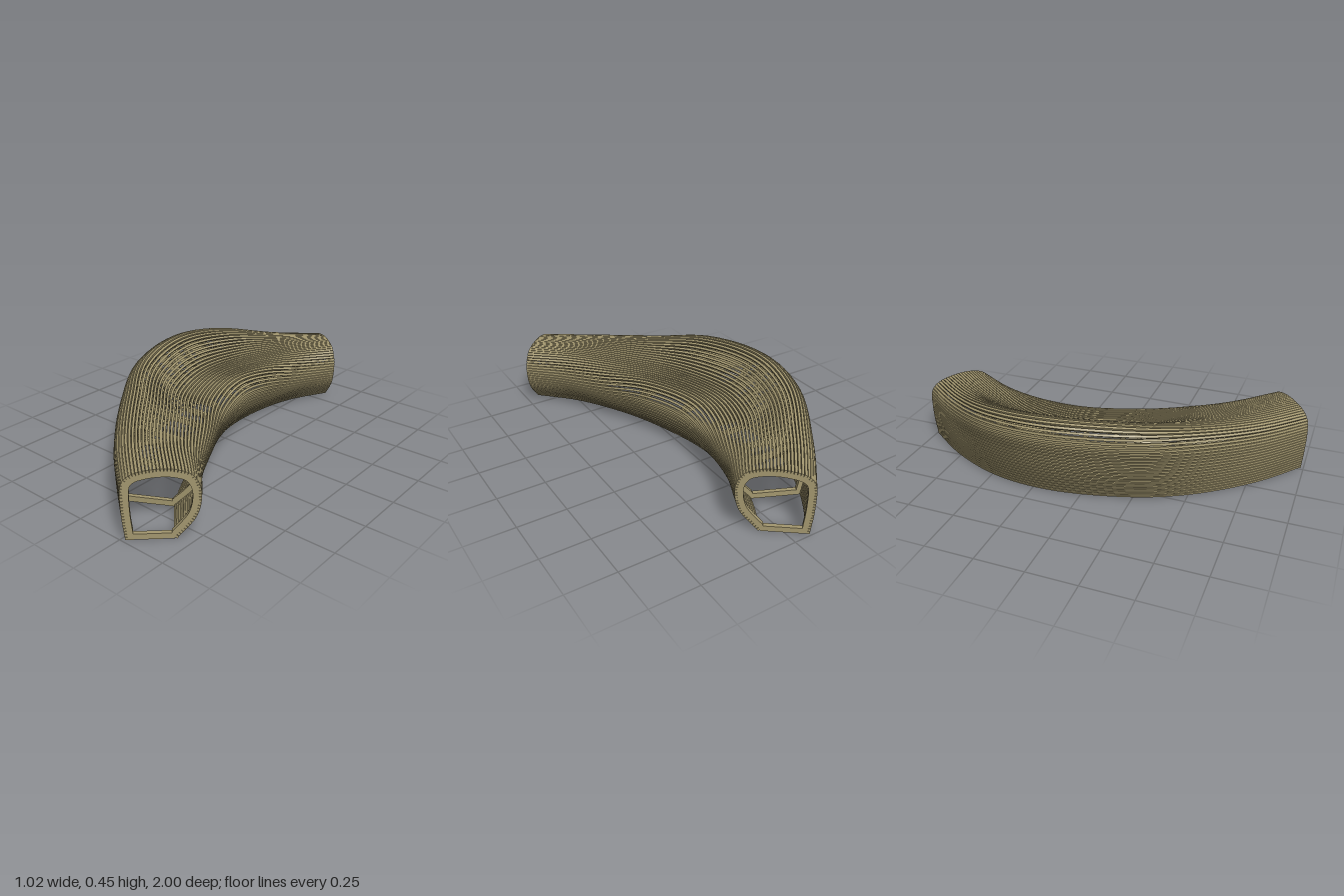
import * as THREE from 'three';

// Frames along the bench: x, z, yaw in degrees, half width, blend (0 = bar end, 1 = seat)
const STATIONS = [
  [0.04, -0.89, -38, 0.178, 0],
  [-0.1, -0.665, -24, 0.212, 0.25],
  [-0.21, -0.395, -12, 0.262, 0.76],
  [-0.232, -0.12, 0, 0.28, 1],
  [-0.148, 0.19, 9, 0.28, 0.86],
  [-0.005, 0.44, 16, 0.254, 0.42],
  [0.183, 0.688, 28, 0.206, 0.12],
  [0.385, 0.88, 43, 0.17, 0],
];
// Open profiles from outer foot, over the top, to inner foot: width (-1..1), height
const END = [[-0.92, 0], [-0.98, 0.1], [-1, 0.19], [-0.99, 0.245], [-0.92, 0.285], [-0.72, 0.315], [-0.4, 0.332],
  [0, 0.34], [0.4, 0.335], [0.76, 0.312], [0.95, 0.265], [1, 0.2], [0.87, 0.11], [0.36, 0]];
const SEAT = [[-0.57, 0], [-0.75, 0.13], [-0.89, 0.25], [-1, 0.36], [-0.95, 0.42], [-0.75, 0.45], [-0.54, 0.425],
  [-0.32, 0.35], [-0.05, 0.305], [0.35, 0.3], [0.78, 0.295], [0.99, 0.235], [0.92, 0.12], [0.6, 0]];

const SLATS = 64, STEPS = 42;
const SLAT_WIDTH = 0.0125, SLAT_DEPTH = 0.014, RIB_DEPTH = 0.022, RIB_BAND = 0.024;

const path = new THREE.CatmullRomCurve3(
  STATIONS.map(([x, z]) => new THREE.Vector3(x, 0, z)), false, 'catmullrom');
const form = new THREE.CatmullRomCurve3(
  STATIONS.map(([, , a, h, w]) => new THREE.Vector3(THREE.MathUtils.degToRad(a), h, w)), false, 'catmullrom');

// Position, yaw and cross-section curve at t along the bench
function frameAt(t) {
  const f = form.getPoint(t);
  const w = THREE.MathUtils.clamp(f.z, 0, 1);
  const pts = END.map(([u, y], i) => new THREE.Vector3(
    THREE.MathUtils.lerp(u, SEAT[i][0], w) * f.y, THREE.MathUtils.lerp(y, SEAT[i][1], w), 0));
  const curve = new THREE.CatmullRomCurve3(pts, false, 'centripetal');
  curve.arcLengthDivisions = 300;
  return { pos: path.getPoint(t), yaw: f.x, curve };
}

// Point on the profile moved along it and inwards
function offsetPoint(curve, s, along, inward) {
  const p = curve.getPointAt(s), d = curve.getTangentAt(s);
  return new THREE.Vector3(
    p.x + d.x * along + d.y * inward, Math.max(0, p.y + d.y * along - d.x * inward), 0);
}

// One lath swept through every frame
function slatGeometry(frames, s) {
  const verts = [], idx = [], h = SLAT_WIDTH / 2;
  const up = new THREE.Vector3(0, 1, 0);
  frames.forEach(({ pos, yaw, curve }, k) => {
    for (const [a, n] of [[-h, 0], [h, 0], [h, SLAT_DEPTH], [-h, SLAT_DEPTH]]) {
      verts.push(...offsetPoint(curve, s, a, n).applyAxisAngle(up, yaw).add(pos).toArray());
    }
    if (k === 0) return;
    for (let j = 0; j < 4; j++) {
      const a = (k - 1) * 4 + j, b = (k - 1) * 4 + (j + 1) % 4;
      idx.push(a, a + 4, b + 4, a, b + 4, b);
    }
  });
  const e = (frames.length - 1) * 4;
  idx.push(0, 1, 2, 0, 2, 3, e, e + 2, e + 1, e, e + 3, e + 2);
  const indexed = new THREE.BufferGeometry();
  indexed.setAttribute('position', new THREE.Float32BufferAttribute(verts, 3));
  indexed.setIndex(idx);
  const g = indexed.toNonIndexed();
  g.computeVertexNormals();
  return g;
}

// Closed frame with a flat foot bar
function ribGeometry(curve) {
  const outer = [], inner = [], n = 70;
  for (let i = 0; i <= n; i++) {
    const o = offsetPoint(curve, i / n, 0, SLAT_DEPTH - 0.002);
    const p = offsetPoint(curve, i / n, 0, SLAT_DEPTH + RIB_BAND);
    outer.push(new THREE.Vector2(o.x, i === 0 || i === n ? 0.002 : Math.max(0.002, o.y)));
    if (p.y > 0.032) inner.push(new THREE.Vector2(p.x, p.y));
  }
  // square off the opening at the foot bar
  inner.unshift(new THREE.Vector2(inner[0].x, 0.03));
  inner.push(new THREE.Vector2(inner[inner.length - 1].x, 0.03));
  const shape = new THREE.Shape(outer);
  shape.holes.push(new THREE.Path(inner));
  return new THREE.ExtrudeGeometry(shape, { depth: RIB_DEPTH, bevelEnabled: false });
}

export function createModel() {
  const model = new THREE.Group();
  model.name = 'slattedBench';
  const wood = new THREE.MeshStandardMaterial({ color: 0xa3976f, side: THREE.DoubleSide });
  wood.name = 'wood';

  // Long laths forming outer wall, backrest, seat and inner wall
  const slats = new THREE.Group();
  slats.name = 'slats';
  const frames = Array.from({ length: STEPS + 1 }, (_, k) => frameAt(k / STEPS));
  for (let i = 0; i < SLATS; i++) {
    const slat = new THREE.Mesh(slatGeometry(frames, (i + 0.5) / SLATS), wood);
    slat.name = 'slat';
    slats.add(slat);
  }
  model.add(slats);

  // Ribs, flush with the ends and centred elsewhere
  const last = STATIONS.length - 1;
  STATIONS.forEach((_, i) => {
    const { pos, yaw, curve } = frameAt(i / last);
    const geometry = ribGeometry(curve);
    geometry.translate(0, 0, i === 0 ? 0 : i === last ? -RIB_DEPTH : -RIB_DEPTH / 2);
    const rib = new THREE.Mesh(geometry, wood);
    rib.name = i === 0 || i === last ? 'endRib' : 'rib';
    rib.position.copy(pos);
    rib.rotation.y = yaw;
    model.add(rib);
  });
  return model;
}
